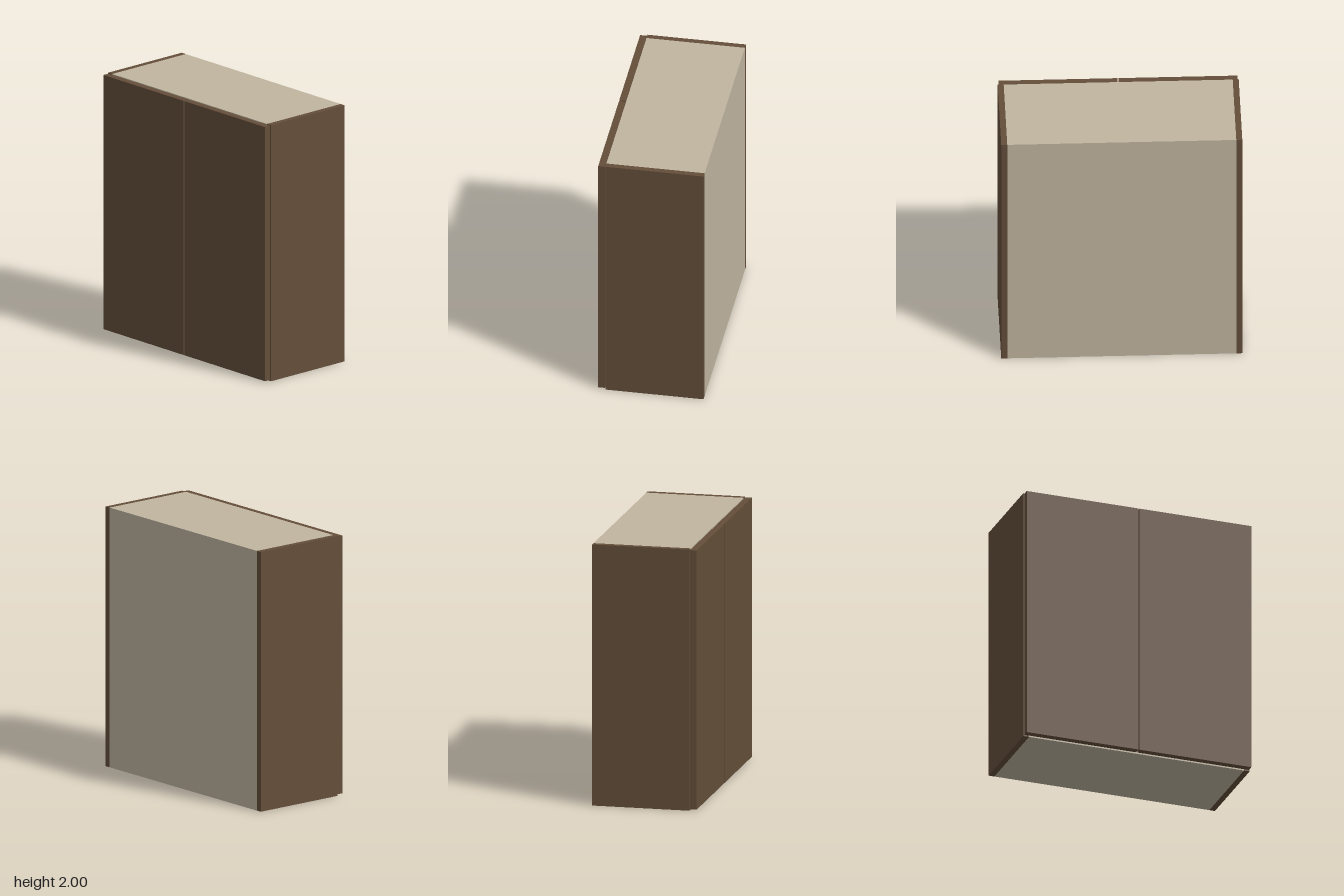
import * as THREE from 'three';

export function createModel() {
  const wood = new THREE.MeshStandardMaterial({ name: 'dark wood', color: 0x644e3a });
  const cream = new THREE.MeshStandardMaterial({ name: 'cream board', color: 0xc0b5a0 });
  const cabinet = new THREE.Group();
  cabinet.name = 'cabinet';

  // Box panel given by its extents along each axis
  function panel(name, material, [x0, x1], [y0, y1], [z0, z1]) {
    const mesh = new THREE.Mesh(new THREE.BoxGeometry(x1 - x0, y1 - y0, z1 - z0), material);
    mesh.position.set((x0 + x1) / 2, (y0 + y1) / 2, (z0 + z1) / 2);
    mesh.name = name;
    cabinet.add(mesh);
  }

  const half = 0.9, inner = 0.855, back = -0.4, face = 0.345, board = 0.045;

  // Carcass boards between the sides
  panel('topPanel', cream, [-inner, inner], [2 - board, 2], [back, face]);
  panel('bottomPanel', cream, [-inner, inner], [0, board], [back, face]);
  panel('backPanel', cream, [-inner, inner], [board, 2 - board], [back, back + 0.02]);

  // Side panels and the pair of doors, with a narrow gap between them
  for (const [side, s] of [['left', 1], ['right', -1]]) {
    const span = (a, b) => (s > 0 ? [a, b] : [-b, -a]);
    panel(side + 'SidePanel', wood, span(inner, half), [0, 2], [back, face]);
    panel(side + 'Door', wood, span(0.005, 0.893), [0.01, 1.995], [0.348, 0.4]);
  }
  return cabinet;
}
